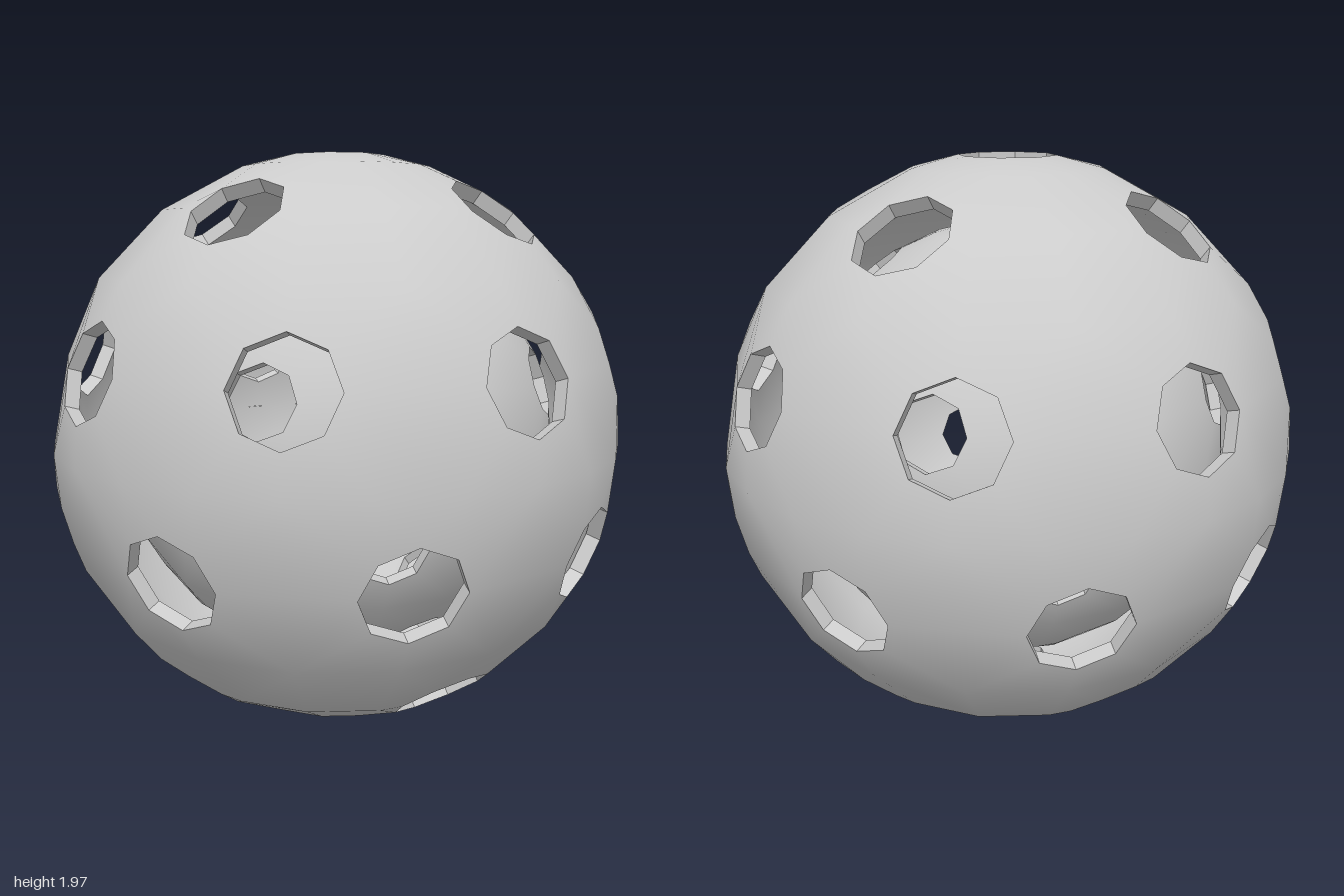
import * as THREE from 'three';
import { ConvexGeometry } from 'three/addons/geometries/ConvexGeometry.js';

const CENTRE_Y = 0.985;
const WALL = 0.95;               // inner skin radius / outer skin radius
const SIDES = 8;                 // corners of each hole
const RAD = Math.PI / 180;

const material = new THREE.MeshStandardMaterial({ color: 0xcccccc });

// Unit vector from azimuth (0 = +z, 90 = +x) and elevation, in degrees
function direction(az, el) {
  return new THREE.Vector3(
    Math.sin(az * RAD) * Math.cos(el * RAD), Math.sin(el * RAD),
    Math.cos(az * RAD) * Math.cos(el * RAD));
}

// Hole axes of one half: a pole hole, four high holes and eight near the seam
function holeAxes(sign) {
  const axes = [direction(0, 90 * sign)];
  const high = sign > 0 ? 22.5 : 0, low = sign > 0 ? 0 : 22.5;
  for (let i = 0; i < 4; i++) axes.push(direction(high + 90 * i, 53 * sign));
  for (let i = 0; i < 8; i++) axes.push(direction(low + 45 * i, 17.5 * sign));
  return axes;
}

// Corners of a hole on the unit sphere, anticlockwise seen from outside
function holeRim(axis, angle) {
  const ref = Math.abs(axis.y) > 0.99 ? new THREE.Vector3(0, 0, 1) : new THREE.Vector3(0, 1, 0);
  const u = ref.addScaledVector(axis, -ref.dot(axis)).normalize();
  const v = new THREE.Vector3().crossVectors(axis, u);
  return Array.from({ length: SIDES }, (_, i) => {
    const t = (i / SIDES) * Math.PI * 2;
    return axis.clone().multiplyScalar(Math.cos(angle))
      .addScaledVector(u, Math.cos(t) * Math.sin(angle))
      .addScaledVector(v, Math.sin(t) * Math.sin(angle));
  });
}

// Triangles of a perforated half sphere: hull of the rims, the seam and points
// spread over the solid areas, with the hole caps and the seam cap left out
function skin(sign, axes, rims, angle) {
  const points = rims.flat();
  for (let i = 0; i < 24; i++) points.push(direction(i * 15, 0));
  for (const el of [35, 53, 71]) {
    for (let i = 0; i < 16; i++) {
      const p = direction(i * 22.5, el * sign);
      if (axes.every(a => p.angleTo(a) > angle * 1.15)) points.push(p);
    }
  }
  const hull = new ConvexGeometry(points).getAttribute('position');
  const triangles = [];
  for (let i = 0; i < hull.count; i += 3) {
    const tri = [0, 1, 2].map(k => new THREE.Vector3().fromBufferAttribute(hull, i + k));
    const isSeamCap = tri.every(p => Math.abs(p.y) < 1e-4);
    const isHoleCap = axes.some(a => tri.every(p => p.dot(a) > Math.cos(angle) - 1e-4));
    if (!isSeamCap && !isHoleCap) triangles.push(tri);
  }
  return triangles;
}

// Half shell with straight-sided holes of the given radius
function halfShell(sign, holeRadius) {
  const axes = holeAxes(sign);
  const outerAngle = Math.asin(holeRadius), innerAngle = Math.asin(holeRadius / WALL);
  const outerRims = axes.map(a => holeRim(a, outerAngle));
  const innerRims = axes.map(a => holeRim(a, innerAngle));
  const pos = [], nor = [];
  const add = (p, n) => { pos.push(p.x, p.y, p.z); nor.push(n.x, n.y, n.z); };

  // Outer and inner skins, smooth
  for (const tri of skin(sign, axes, outerRims, outerAngle)) tri.forEach(p => add(p, p));
  for (const tri of skin(sign, axes, innerRims, innerAngle)) {
    tri.reverse().forEach(p => add(p.clone().multiplyScalar(WALL), p.clone().negate()));
  }

  // Flat walls of the holes
  outerRims.forEach((rim, h) => rim.forEach((a, i) => {
    const j = (i + 1) % SIDES;
    const b = rim[j];
    const a2 = innerRims[h][i].clone().multiplyScalar(WALL);
    const b2 = innerRims[h][j].clone().multiplyScalar(WALL);
    const mid = a.clone().add(b).multiplyScalar(0.5);
    const n = axes[h].clone().multiplyScalar(mid.dot(axes[h])).sub(mid).normalize();
    [a, b, b2, a, b2, a2].forEach(p => add(p, n));
  }));

  const geo = new THREE.BufferGeometry();
  geo.setAttribute('position', new THREE.Float32BufferAttribute(pos, 3));
  geo.setAttribute('normal', new THREE.Float32BufferAttribute(nor, 3));
  return geo;
}

export function createModel() {
  const model = new THREE.Group();
  model.name = 'perforatedBall';

  // Two nested balls; the upper half of the inner one is twisted on the seam
  for (const [name, radius, holeRadius, twist] of [
    ['outer', 1, 0.167, 0],
    ['inner', 0.77, 0.155, 35.5],
  ]) {
    const ball = new THREE.Group();
    ball.name = name + 'Ball';
    const top = new THREE.Mesh(halfShell(1, holeRadius), material);
    top.name = name + 'UpperHalf';
    top.rotation.y = twist * RAD;
    const bottom = new THREE.Mesh(halfShell(-1, holeRadius), material);
    bottom.name = name + 'LowerHalf';
    ball.add(top, bottom);
    ball.scale.setScalar(radius);
    ball.position.y = CENTRE_Y;
    model.add(ball);
  }
  return model;
}
